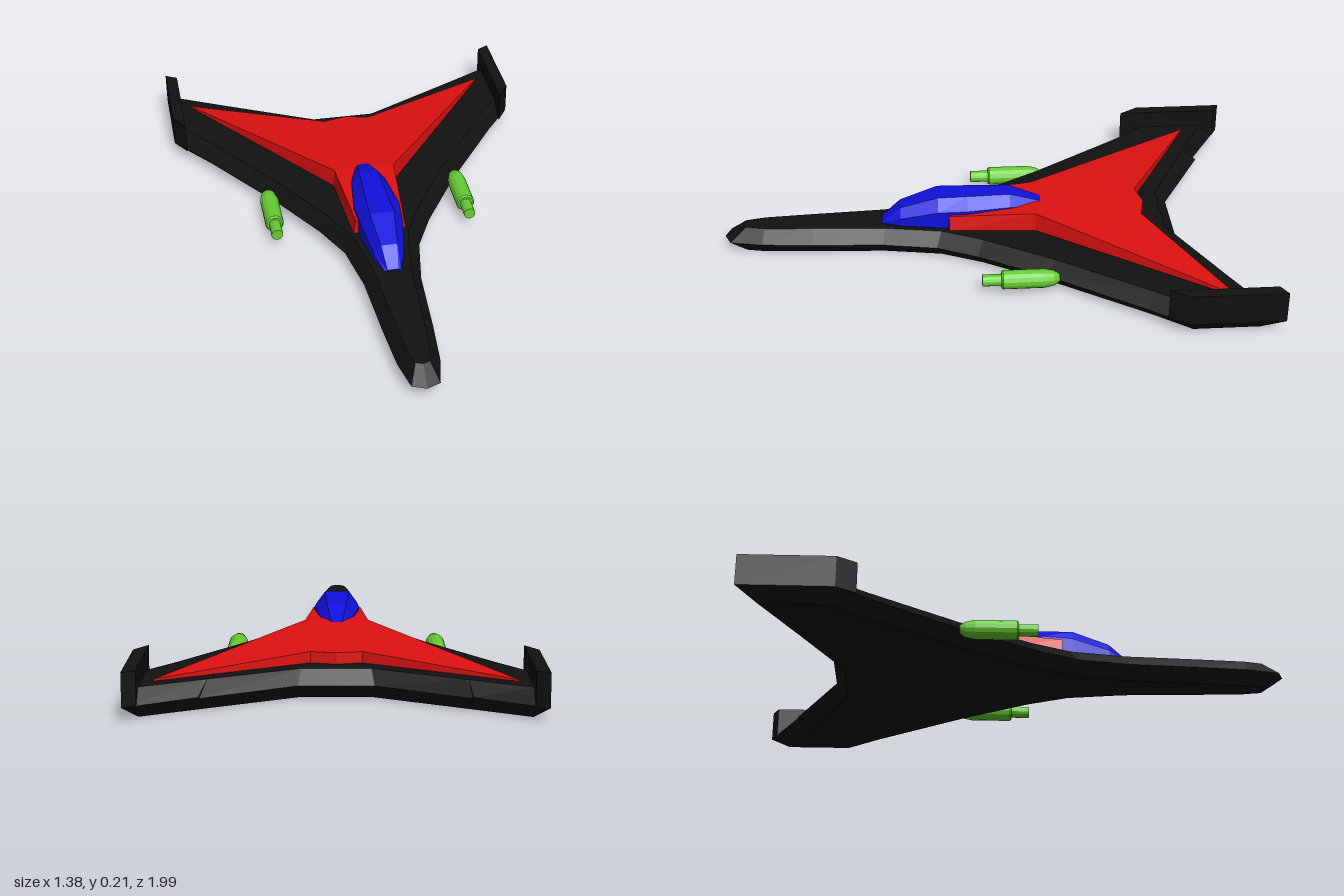
import * as THREE from 'three';

const paint = (color) => new THREE.MeshStandardMaterial({ color, flatShading: true });
const BLACK = paint(0x111111);
const RED = paint(0xdd1111);
const BLUE = paint(0x1111dd);
const GREEN = paint(0x66cc33);

// Flip a run of [x, y, z] points to the other side, keeping its turning direction
const flip = (points) => points.map(([x, y, z]) => [-x, y, z]).reverse();

// Close a +x half outline (front to back) into a symmetric loop
const mirrored = (half) => [...half, ...flip(half.filter((p, i) => p[0] !== 0 || (i > 0 && i < half.length - 1)))];

// Skin a stack of loops from bottom to top, optionally closing both ends
function loft(name, material, rings, capped = true) {
  const n = rings[0].length;
  const index = [];
  for (let r = 0; r < rings.length - 1; r++) {
    for (let j = 0; j < n; j++) {
      const k = (j + 1) % n;
      const a = r * n + j, b = r * n + k, c = b + n, d = a + n;
      index.push(a, b, c, a, c, d);
    }
  }
  if (capped) {
    const flat = (ring) => ring.map(([x, , z]) => new THREE.Vector2(x, -z));
    const top = (rings.length - 1) * n;
    for (const [a, b, c] of THREE.ShapeUtils.triangulateShape(flat(rings[0]), [])) index.push(a, c, b);
    for (const [a, b, c] of THREE.ShapeUtils.triangulateShape(flat(rings[rings.length - 1]), [])) {
      index.push(top + a, top + b, top + c);
    }
  }
  const geometry = new THREE.BufferGeometry();
  geometry.setAttribute('position', new THREE.Float32BufferAttribute(rings.flat(2), 3));
  geometry.setIndex(index);
  geometry.computeVertexNormals();
  const mesh = new THREE.Mesh(geometry, material);
  mesh.name = name;
  return mesh;
}

// Half outline of the hull: edge x, edge z, then the inset x, z of the bevelled faces
const HULL = [
  [0, 0.99, 0, 0.92],
  [0.05, 0.97, 0.025, 0.91],
  [0.075, 0.85, 0.04, 0.84],
  [0.09, 0.66, 0.052, 0.66],
  [0.105, 0.4, 0.067, 0.39],
  [0.14, 0.2, 0.102, 0.18],
  [0.21, 0.05, 0.17, 0.03],
  [0.36, -0.2, 0.32, -0.22],
  [0.59, -0.53, 0.55, -0.555],
  [0.69, -0.66, 0.645, -0.68],
  [0.69, -1, 0.645, -0.92],
  [0.455, -0.86, 0.44, -0.815],
  [0.45, -0.875, 0.43, -0.81],
  [0.13, -0.7, 0.12, -0.655],
  [0, -0.7, 0, -0.655],
];

function makeHull() {
  const edge = mirrored(HULL.map(([x, z]) => [x, 0.05, z]));
  const inset = (y) => mirrored(HULL.map(([, , x, z]) => [x, y, z]));
  return loft('hull', BLACK, [inset(0), edge, inset(0.1)]);
}

// Raised upper body: x, z, top height, top x
function makeUpperBody() {
  const plan = [
    [0.1, 0.15, 0.155, 0.09],
    [0.12, -0.17, 0.17, 0.115],
    [0.605, -0.84, 0.106, 0.605],
    [0.09, -0.57, 0.14, 0.09],
    [0, -0.59, 0.14, 0],
  ];
  const base = mirrored(plan.map(([x, z]) => [x, 0.095, z]));
  const top = mirrored(plan.map(([, z, y, x]) => [x, y, z]));
  return loft('upperBody', RED, [base, top]);
}

// Faceted canopy: z, shoulder half width, shoulder height, roof half width, roof height
function makeCanopy() {
  const stations = [
    [0.4, 0.03, 0.1, 0.02, 0.105],
    [0.33, 0.055, 0.13, 0.03, 0.165],
    [0.19, 0.078, 0.165, 0.045, 0.21],
    [0.08, 0.085, 0.17, 0.042, 0.21],
    [-0.08, 0.065, 0.17, 0.035, 0.21],
    [-0.2, 0.035, 0.155, 0.02, 0.167],
  ];
  const ring = (place) => mirrored(stations.map(place));
  const spine = stations.map(([z, , , , y]) => [0, y, z]);
  return loft('canopy', BLUE, [
    ring(([z, w]) => [w, 0.09, z]),
    ring(([z, w, y]) => [w, y, z]),
    ring(([z, , , w, y]) => [w, y, z]),
    [...spine, ...[...spine].reverse()],
  ], false);
}

// Upright fin along the wing tip
function makeWinglet(side) {
  const plan = [[0.645, -0.59], [0.69, -0.66], [0.69, -1], [0.645, -0.975]];
  const ring = (y) => {
    const points = plan.map(([x, z]) => [x, y, z]);
    return side > 0 ? points : flip(points);
  };
  return loft(side > 0 ? 'leftWinglet' : 'rightWinglet', BLACK, [ring(0.05), ring(0.167)]);
}

// Cannon with a slim barrel and a rounded tail
function makeCannon(side) {
  const profile = [
    [0, -0.24], [0.015, -0.235], [0.028, -0.215], [0.035, -0.18],
    [0.035, 0.02 - 0.05], [0.03, -0.024], [0.022, -0.024], [0.022, 0.045], [0, 0.045],
  ].map(([r, y]) => new THREE.Vector2(r, y));
  const cannon = new THREE.Mesh(new THREE.LatheGeometry(profile, 14), GREEN);
  cannon.rotation.x = Math.PI / 2;
  cannon.position.set(side * 0.37, 0.053, 0);
  cannon.name = side > 0 ? 'leftCannon' : 'rightCannon';
  return cannon;
}

export function createModel() {
  const model = new THREE.Group();
  model.name = 'spacecraft';
  model.add(makeHull(), makeUpperBody(), makeCanopy());
  for (const side of [1, -1]) model.add(makeWinglet(side), makeCannon(side));
  return model;
}
